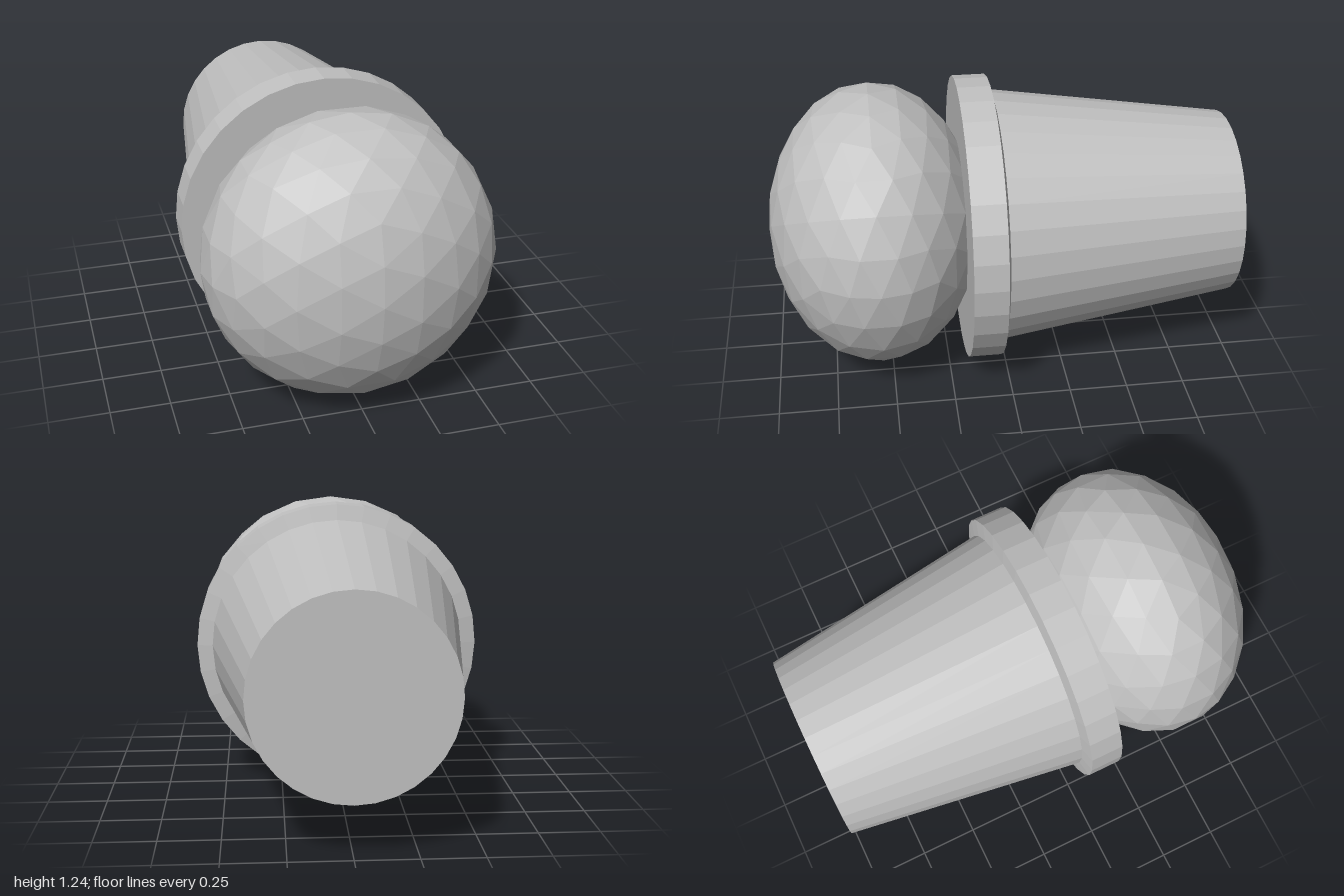
import * as THREE from 'three';

const AXIS_Y = 0.6175;

// Turned part along z, from [radius, z] pairs running back to front
function turned(name, profile, material) {
  const points = profile.map(([r, z]) => new THREE.Vector2(r, z));
  const geometry = new THREE.LatheGeometry(points, 32);
  geometry.rotateX(Math.PI / 2);
  const mesh = new THREE.Mesh(geometry.toNonIndexed(), material);
  mesh.geometry.computeVertexNormals();
  mesh.name = name;
  mesh.position.y = AXIS_Y;
  return mesh;
}

export function createModel() {
  const group = new THREE.Group();
  group.name = 'knob';
  const grey = new THREE.MeshStandardMaterial({ color: 0xc0c0c0 });
  grey.name = 'grey';

  // Tapered stem with a closed back end
  group.add(turned('stem', [[0, -1], [0.403, -1], [0.55, 0.018]], grey));

  // Collar with a sloping back shoulder and flat front
  group.add(turned('collar', [[0.55, 0.018], [0.6175, 0.033], [0.6175, 0.175], [0, 0.175]], grey));

  // Faceted, flattened ball: icosahedron halved twice
  const once = new THREE.IcosahedronGeometry(1, 1).attributes.position;
  const vertices = Array.from(once.array);
  const faces = Array.from({ length: once.count }, (_, i) => i);
  const ballGeometry = new THREE.PolyhedronGeometry(vertices, faces, 1, 1);
  ballGeometry.scale(0.609, 0.609, 0.456);
  ballGeometry.computeVertexNormals();
  const ball = new THREE.Mesh(ballGeometry, grey);
  ball.name = 'ball';
  ball.position.set(0, 0.62, 0.544);
  group.add(ball);

  return group;
}
